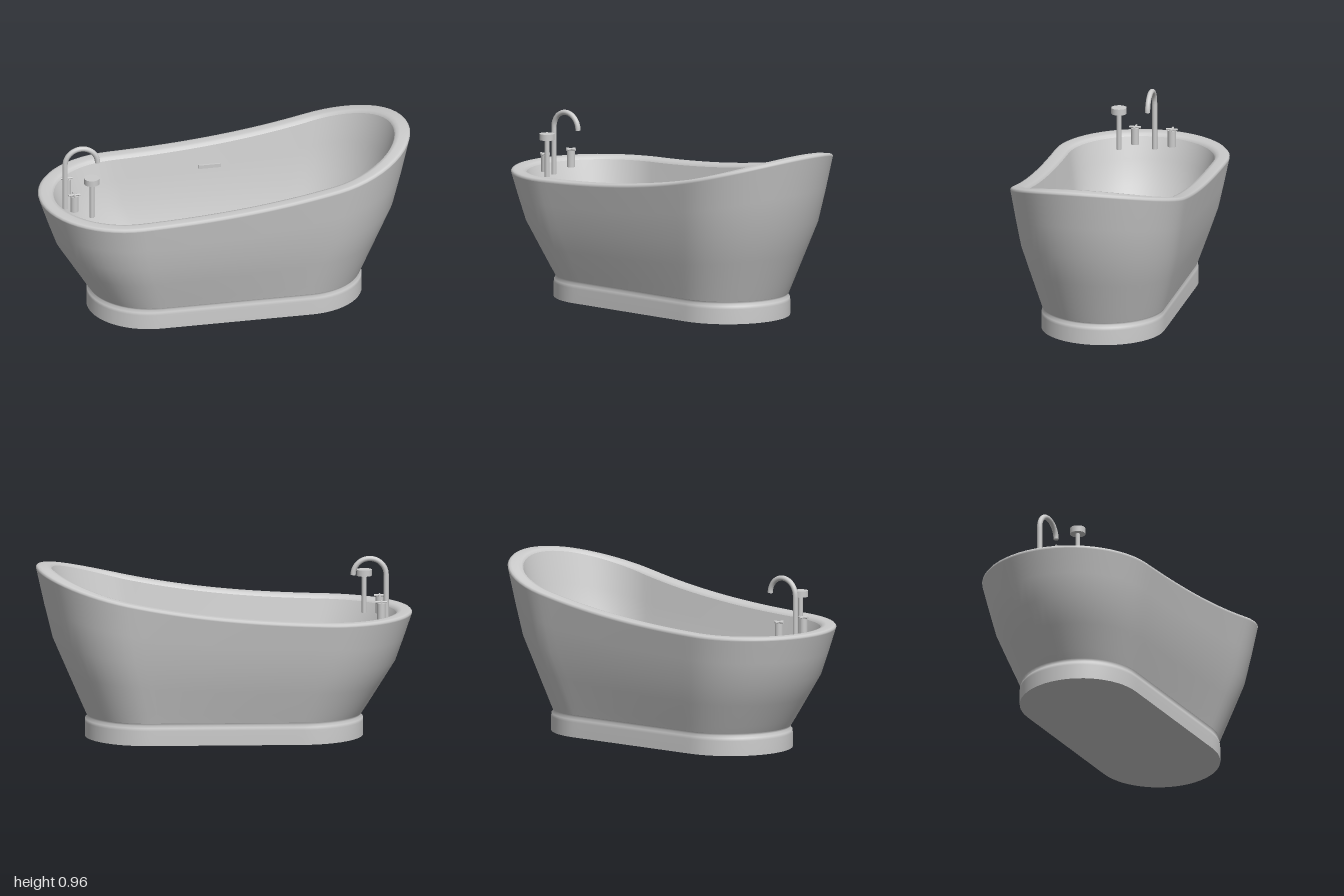
import * as THREE from 'three';

const STRAIGHT = 18, ARC = 28;
const material = new THREE.MeshStandardMaterial({ color: 0xcccccc });

// Stadium outline with half length L and half width W
function outline(L, W) {
  const s = L - W, pts = [];
  for (const side of [1, -1]) {
    for (let i = 0; i < ARC; i++) {
      const a = -Math.PI / 2 + (Math.PI * i) / ARC;
      pts.push([side * (s + W * Math.cos(a)), side * W * Math.sin(a)]);
    }
    for (let i = 0; i < STRAIGHT; i++) pts.push([side * s * (1 - (2 * i) / STRAIGHT), side * W]);
  }
  return pts;
}

// Rim height: low at the tap end, sweeping up to the backrest
const rimHeight = outline(1, 0.47).map(([x]) => 0.67 + 0.25 * Math.pow(Math.max(0, (x + 1) / 2), 2.74));

// Rings are [L, W, y, f]: f blends the height from level y (0) to the rim (1); drop lowers it
function loft(rings) {
  const pos = [], index = [];
  const n = rimHeight.length;
  rings.forEach(([L, W, y, f = 0, drop = 0], j) => {
    outline(L, W).forEach(([x, z], i) => {
      pos.push(x, y + f * (rimHeight[i] - y) - drop, z);
      if (j === rings.length - 1) return;
      const a = j * n + i, b = j * n + ((i + 1) % n);
      index.push(a, a + n, b, b, a + n, b + n);
    });
  });
  const g = new THREE.BufferGeometry();
  g.setAttribute('position', new THREE.Float32BufferAttribute(pos, 3));
  g.setIndex(index);
  g.computeVertexNormals();
  return g;
}

export function createModel() {
  const model = new THREE.Group();
  const add = (name, geometry, x = 0, y = 0, z = 0, parent = model) => {
    const mesh = new THREE.Mesh(geometry, material);
    mesh.name = name;
    mesh.position.set(x, y, z);
    parent.add(mesh);
    return mesh;
  };
  const rod = (name, r, y0, y1, x, z, parent) =>
    add(name, new THREE.CylinderGeometry(r, r, y1 - y0, 24), x, (y0 + y1) / 2, z, parent);

  // Plinth
  add('plinthBottom', loft([[0.41, 0, 0], [0.74, 0.33, 0]]));
  add('plinth', loft([[0.74, 0.33, 0], [0.74, 0.33, 0.08], [0.738, 0.328, 0.095], [0.725, 0.322, 0.108], [0.732, 0.328, 0.12]]));

  // Tub shell
  add('outerWall', loft([
    [0.732, 0.328, 0.12], [0.76, 0.342, 0.115, 0.085], [0.835, 0.382, 0.115, 0.3],
    [0.91, 0.42, 0.115, 0.515], [0.955, 0.445, 0.115, 0.74], [0.998, 0.469, 0, 1, 0.018],
  ]));
  add('rim', loft([
    [0.998, 0.469, 0, 1, 0.018], [1, 0.47, 0, 1, 0.01], [0.993, 0.464, 0, 1, 0.002], [0.98, 0.452, 0, 1],
    [0.945, 0.418, 0, 1], [0.925, 0.4, 0, 1, 0.004], [0.916, 0.391, 0, 1, 0.018],
  ]));
  add('innerWall', loft([
    [0.916, 0.391, 0, 1, 0.018], [0.87, 0.37, 0.13, 0.76], [0.82, 0.345, 0.13, 0.52],
    [0.72, 0.3, 0.13, 0.26], [0.6, 0.245, 0.13],
  ]));
  add('tubFloor', loft([[0.6, 0.245, 0.13], [0.355, 0, 0.13]]));
  add('drain', new THREE.CylinderGeometry(0.03, 0.03, 0.008, 32), 0, 0.132, 0);
  add('overflowSlot', new THREE.BoxGeometry(0.12, 0.02, 0.012), 0, 0.58, -0.368);

  // Swan-neck spout
  const path = new THREE.CurvePath();
  const arch = [];
  for (let i = 0; i <= 16; i++) {
    const a = Math.PI * (1 - i / 16);
    arch.push(new THREE.Vector3(-0.774 + 0.088 * Math.cos(a), 0.855 + 0.088 * Math.sin(a), 0));
  }
  path.add(new THREE.LineCurve3(new THREE.Vector3(-0.862, 0.6, 0), arch[0]));
  path.add(new THREE.CatmullRomCurve3(arch));
  const spout = new THREE.Group();
  spout.name = 'spout';
  model.add(spout);
  add('spoutTube', new THREE.TubeGeometry(path, 64, 0.014, 16), 0, 0, 0, spout);
  add('spoutBase', new THREE.CircleGeometry(0.014, 16).rotateX(Math.PI / 2), -0.862, 0.6, 0, spout);
  add('spoutMouth', new THREE.CircleGeometry(0.014, 16).rotateX(Math.PI / 2), -0.686, 0.855, 0, spout);

  // Cross-handled taps
  for (const side of [1, -1]) {
    const tap = new THREE.Group();
    tap.name = side > 0 ? 'frontTap' : 'backTap';
    tap.position.set(-0.832, 0, side * 0.1);
    model.add(tap);
    rod('tapBody', 0.022, 0.63, 0.72, 0, 0, tap);
    for (const turn of [0, Math.PI / 2]) {
      const bar = add('tapCrossBar', new THREE.CylinderGeometry(0.006, 0.006, 0.062, 12).rotateZ(Math.PI / 2), 0, 0.725, 0, tap);
      bar.rotation.y = turn;
    }
  }

  // Hand shower on its stem
  rod('showerStem', 0.013, 0.62, 0.82, -0.752, 0.17);
  rod('showerHead', 0.041, 0.82, 0.853, -0.752, 0.17);

  return model;
}
